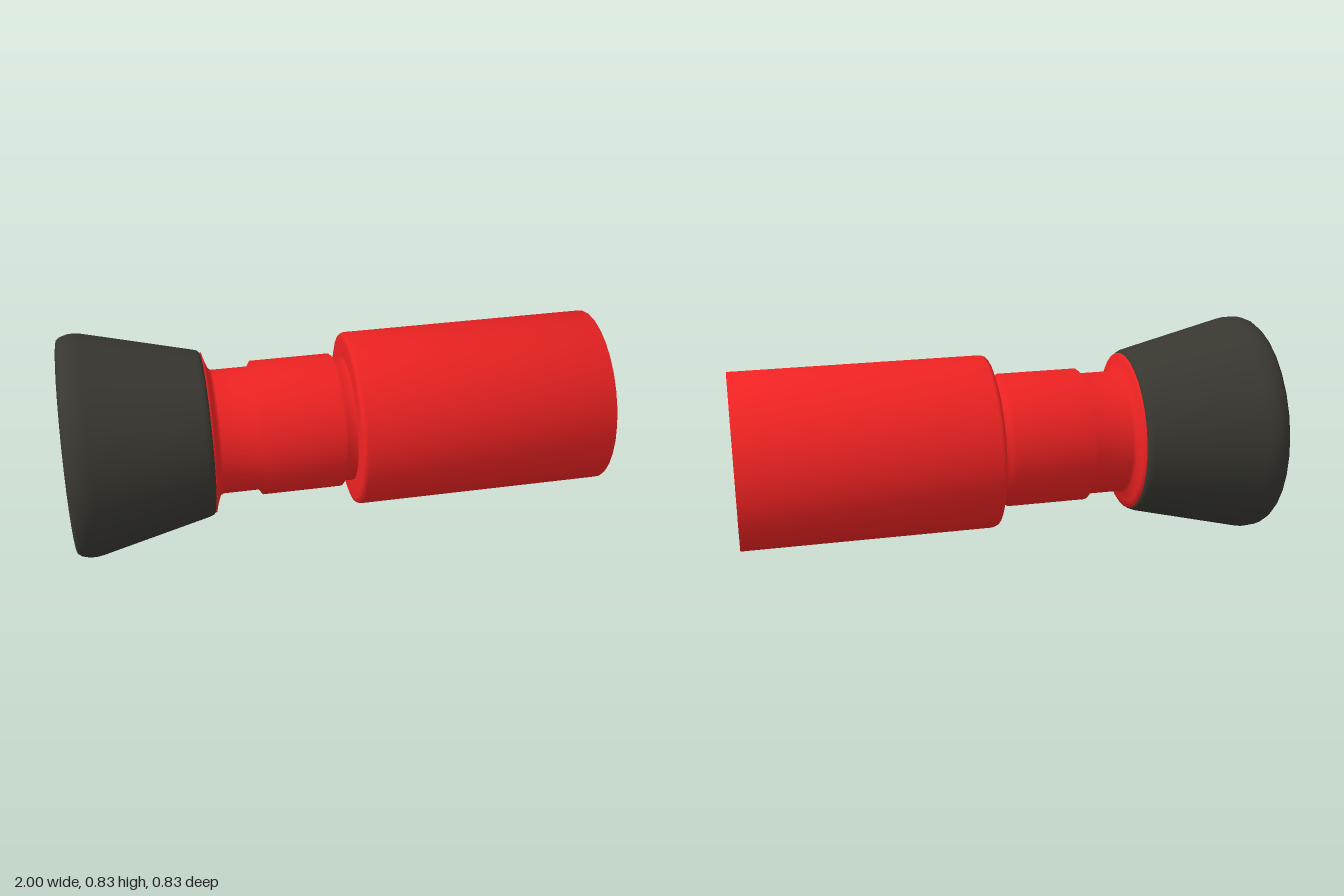
import * as THREE from 'three';

const R = 0.415; // largest radius, also the height of the long axis

export function createModel() {
  const model = new THREE.Group();
  const axis = new THREE.Group(); // parts are turned about local y, then laid along x
  axis.name = 'body';
  axis.rotation.z = -Math.PI / 2;
  axis.position.y = R;
  model.add(axis);

  const red = new THREE.MeshStandardMaterial({ color: 0xee2222 });
  const black = new THREE.MeshStandardMaterial({ color: 0x383730 });
  const brass = new THREE.MeshStandardMaterial({ color: 0xc4c46c });

  const add = (name, geometry, material) => {
    const mesh = new THREE.Mesh(geometry, material);
    mesh.name = name;
    axis.add(mesh);
    return mesh;
  };
  // profile points are [position along axis, radius], running toward +x outside
  const turn = (name, profile, material, sides = 32) =>
    add(name, new THREE.LatheGeometry(profile.map(([x, r]) => new THREE.Vector2(r, x)), sides), material);

  // grip with its closed, softly shaded end
  turn('grip', [[0.045, 0.235], [0.045, 0.305], [0.05, 0.322], [0.065, 0.328], [1, 0.328], [1, 0]], red);

  // neck: flared flange, groove, raised collar and groove
  turn('neck', [
    [-0.485, 0.28], [-0.482, 0.302], [-0.475, 0.275], [-0.462, 0.242], [-0.45, 0.233],
    [-0.315, 0.233], [-0.302, 0.253], [-0.005, 0.253], [0.012, 0.235], [0.045, 0.235],
  ], red);

  // tapered rubber cup, rounded at both lips
  turn('cup', [
    [-0.985, 0.33], [-0.998, 0.345], [-1, 0.36], [-1, 0.395], [-0.985, 0.407], [-0.96, 0.414], [-0.935, 0.415], [-0.91, 0.411],
    [-0.51, 0.315], [-0.495, 0.31], [-0.487, 0.302], [-0.484, 0.285], [-0.484, 0.24],
  ], black);

  // recessed lining inside the cup
  turn('recessFloor', [[-0.88, 0], [-0.88, 0.3]], red);
  turn('recessWall', [[-0.88, 0.3], [-0.9, 0.318], [-0.985, 0.332]], red);

  // ring of small teeth standing on the recess floor
  const teeth = 20;
  for (let i = 0; i < teeth; i++) {
    const a = (i / teeth) * Math.PI * 2;
    const tooth = add('tooth', new THREE.BoxGeometry(0.03, 0.06, 0.028), red);
    tooth.position.set(Math.sin(a) * 0.19, -0.91, Math.cos(a) * 0.19);
    tooth.rotation.y = a;
  }

  // centre button: stem, ribs and a dished head
  turn('buttonStem', [[-0.96, 0.085], [-0.88, 0.085]], brass);
  const ribs = 10;
  for (let i = 0; i < ribs; i++) {
    const a = (i / ribs) * Math.PI * 2;
    const rib = add('stemRib', new THREE.BoxGeometry(0.03, 0.05, 0.045), brass);
    rib.position.set(Math.sin(a) * 0.1, -0.905, Math.cos(a) * 0.1);
    rib.rotation.y = a;
  }
  turn('buttonHead', [
    [-0.965, 0], [-0.968, 0.05], [-0.978, 0.083], [-0.985, 0.09], [-0.985, 0.1],
    [-0.978, 0.125], [-0.965, 0.14], [-0.952, 0.14], [-0.945, 0.125], [-0.945, 0.08],
  ], brass);

  return model;
}
